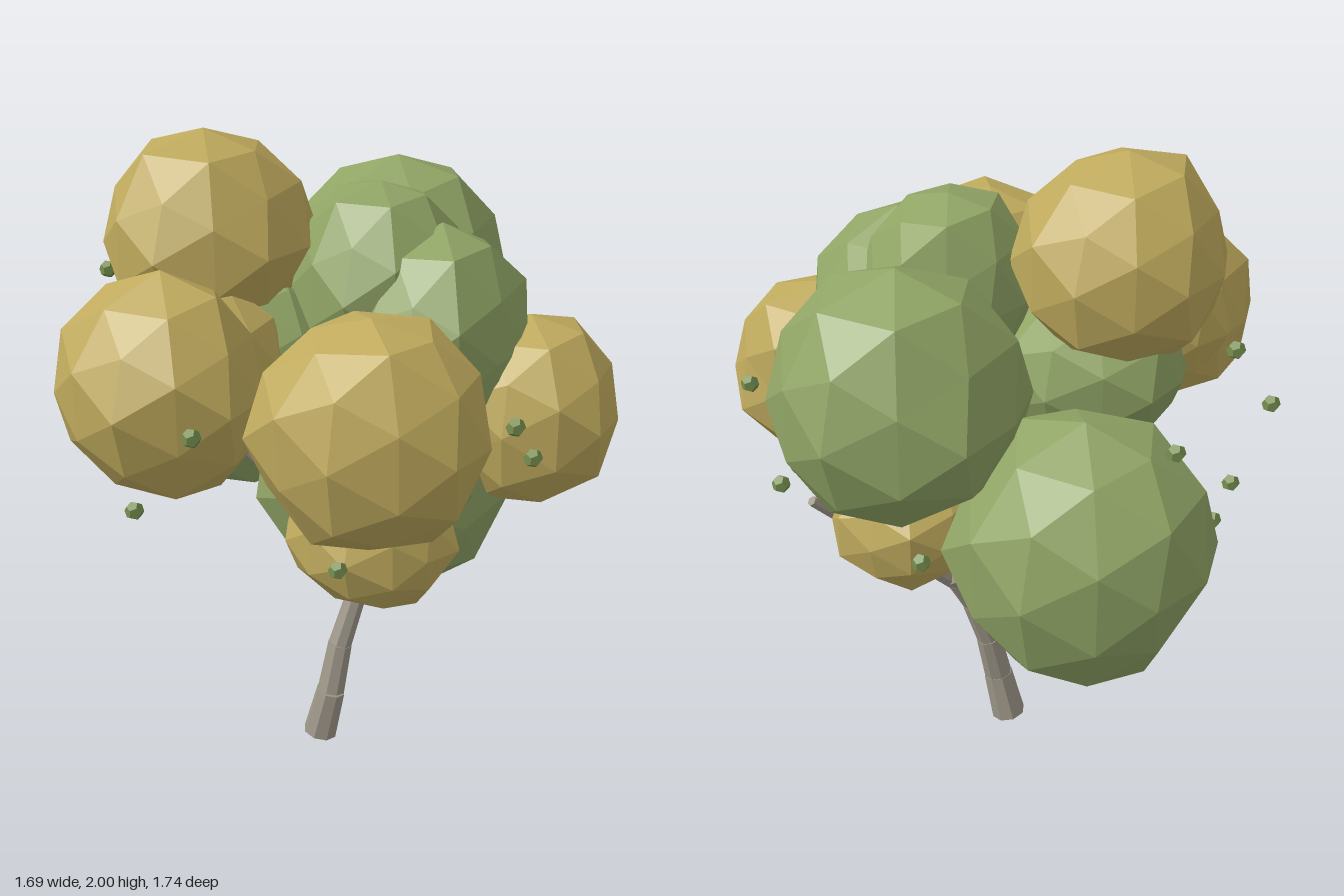
import * as THREE from 'three';

const mat = (name, color) => {
  const m = new THREE.MeshStandardMaterial({ color, flatShading: true });
  m.name = name;
  return m;
};

// Lumpy low-poly ball: every shared corner is pushed in or out by a hashed amount
function lumpyBall(seed, amount, tilt) {
  const g = new THREE.IcosahedronGeometry(1, 1);
  const p = g.attributes.position;
  const v = new THREE.Vector3();
  for (let i = 0; i < p.count; i++) {
    v.fromBufferAttribute(p, i);
    const k = [v.x, v.y, v.z].map((c) => Math.round(c * 100));
    const h = Math.sin(k[0] * 12.99 + k[1] * 78.23 + k[2] * 37.72 + seed * 4.1) * 43758.55;
    v.multiplyScalar(1 + (h - Math.floor(h) - 0.5) * amount);
    p.setXYZ(i, v.x, v.y, v.z);
  }
  g.rotateX(tilt);
  g.computeVertexNormals();
  return g;
}

export function createModel() {
  const tree = new THREE.Group();
  tree.name = 'tree';
  const bark = mat('bark grey', 0x9f988a);
  const green = mat('leaf green', 0x90a465);
  const gold = mat('leaf gold', 0xbfaa5d);
  const berryGreen = mat('berry green', 0x788f50);

  // Tapered length of wood between two points
  const limb = (name, a, b, r0, r1, sides = 8) => {
    const from = new THREE.Vector3(...a);
    const dir = new THREE.Vector3(...b).sub(from);
    const m = new THREE.Mesh(new THREE.CylinderGeometry(r1, r0, dir.length(), sides), bark);
    m.position.copy(from).addScaledVector(dir, 0.5);
    m.quaternion.setFromUnitVectors(new THREE.Vector3(0, 1, 0), dir.normalize());
    m.name = name;
    tree.add(m);
  };

  // Trunk: stacked segments leaning away from the base
  const trunk = [[-0.04, 0.01, 0.04], [-0.005, 0.17, 0.03], [0.015, 0.33, 0], [0.05, 0.48, -0.04], [0.09, 0.61, -0.105]];
  const radii = [0.055, 0.045, 0.038, 0.032, 0.025];
  for (let i = 0; i < 4; i++) limb('trunkSegment', trunk[i], trunk[i + 1], radii[i], radii[i + 1] + 0.002);

  // Branches fanning out of the fork
  const fork = [0.09, 0.59, -0.1];
  [
    [-0.33, 0.92, -0.21],
    [0.3, 1.06, -0.53],
    [-0.27, 1.06, 0.15],
    [0.47, 1.15, 0.08],
    [0.14, 0.88, -0.07],
  ].forEach((tip) => limb('branch', fork, tip, 0.026, 0.015, 6));

  // Leaf clumps: material, centre, half sizes, tilt
  [
    [gold, [-0.34, 1.685, 0.15], [0.305, 0.305, 0.33]],
    [gold, [-0.285, 1.37, 0.55], [0.3, 0.31, 0.285]],
    [gold, [-0.3, 1.4, 0.38], [0.28, 0.23, 0.23]],
    [gold, [0.315, 1.335, 0.57], [0.325, 0.325, 0.3]],
    [gold, [0.575, 1.215, -0.045], [0.285, 0.28, 0.27]],
    [gold, [0.23, 0.9, 0.31], [0.25, 0.215, 0.215]],
    [gold, [0.03, 1.04, -0.44], [0.22, 0.19, 0.22]],
    [green, [-0.48, 1.065, -0.385], [0.365, 0.39, 0.36]],
    [green, [0.02, 1.45, -0.49], [0.36, 0.355, 0.37]],
    [green, [0.13, 1.56, -0.02], [0.25, 0.3, 0.29]],
    [green, [0.33, 1.42, 0.03], [0.26, 0.325, 0.31]],
    [green, [0.16, 0.98, 0.05], [0.38, 0.365, 0.32], 0.365],
    [green, [0.15, 1.3, -0.41], [0.275, 0.26, 0.285]],
    [green, [-0.24, 1.33, 0.16], [0.3, 0.26, 0.29]],
  ].forEach(([m, c, s, tilt = 0], i) => {
    const clump = new THREE.Mesh(lumpyBall(i + 1, 0.12, tilt), m);
    clump.position.set(...c);
    clump.scale.set(...s);
    clump.name = 'leafClump';
    tree.add(clump);
  });

  // Small berries hanging around the crown
  const berry = new THREE.DodecahedronGeometry(0.027, 0);
  [
    [0.57, 1.32, -0.42], [0.65, 1.32, 0.37], [0.68, 1.2, 0.28], [0.23, 0.92, 0.58],
    [-0.085, 1.345, 0.8], [-0.705, 1.38, -0.31], [-0.72, 1.52, 0.06], [-0.785, 1.295, 0.22],
    [-0.685, 1.0, 0.225], [-0.745, 1.07, -0.1], [-0.635, 0.93, 0.04], [-0.325, 1.05, 0.685],
    [0.56, 1.18, 0.55], [0.365, 1.125, -0.58], [-0.145, 1.075, -0.67],
  ].forEach((p) => {
    const b = new THREE.Mesh(berry, berryGreen);
    b.position.set(...p);
    b.name = 'berry';
    tree.add(b);
  });

  return tree;
}
